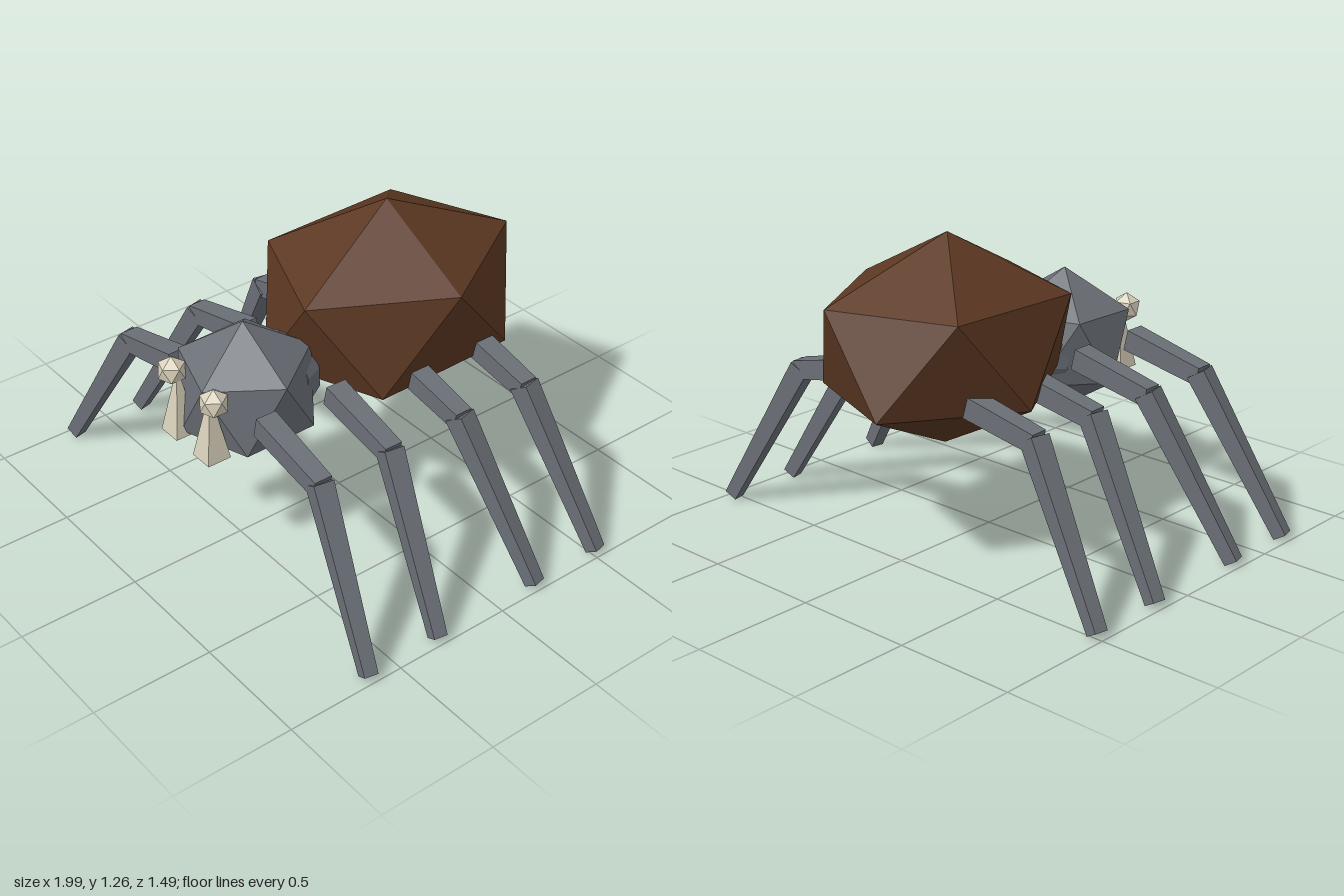
import * as THREE from 'three';

export function createModel() {
  const root = new THREE.Group();
  root.name = 'spider';

  const mat = (name, color) => {
    const m = new THREE.MeshStandardMaterial({ color, flatShading: true });
    m.name = name;
    return m;
  };
  const grey = mat('grey', 0x6b7077);
  const brown = mat('brown', 0x5c3822);
  const cream = mat('cream', 0xd8d0ba);

  const add = (parent, name, geometry, material) => {
    const mesh = new THREE.Mesh(geometry, material);
    mesh.name = name;
    parent.add(mesh);
    return mesh;
  };

  // Icosahedron standing on a vertex, with an upper-ring vertex towards +x
  const ball = (parent, name, material, [rx, ry, rz], [x, y, z], tilt = 0) => {
    const g = new THREE.IcosahedronGeometry(1, 0);
    g.rotateZ(-Math.atan(2 / (1 + Math.sqrt(5))));
    g.scale(rx, ry, rz);
    g.rotateX(tilt);
    g.translate(x, y, z);
    return add(parent, name, g, material);
  };

  // Square tapered bar with half-widths h0 and h1
  const squareBar = (h0, h1, length) => {
    const g = new THREE.CylinderGeometry(h1 * Math.SQRT2, h0 * Math.SQRT2, length, 4);
    return g.rotateY(Math.PI / 4);
  };

  // Bar from a to b whose side faces stay upright
  const limb = (parent, name, a, b, h0, h1) => {
    const from = new THREE.Vector3(...a), to = new THREE.Vector3(...b);
    const dir = to.clone().sub(from);
    const g = squareBar(h0, h1, dir.length());
    dir.normalize();
    const side = new THREE.Vector3().crossVectors(dir, new THREE.Vector3(0, 1, 0)).normalize();
    const out = new THREE.Vector3().crossVectors(dir, side);
    g.applyMatrix4(new THREE.Matrix4().makeBasis(out, dir, side));
    const mid = from.add(to).multiplyScalar(0.5);
    g.translate(mid.x, mid.y, mid.z);
    return add(parent, name, g, grey);
  };

  // Body
  ball(root, 'abdomen', brown, [0.49, 0.42, 0.594], [0, 0.842, -0.242], 0.023);
  ball(root, 'head', grey, [0.297, 0.3, 0.297], [0, 0.68, 0.448], 0.023);
  const neck = new THREE.CylinderGeometry(0.18, 0.13, 0.09, 10);
  neck.rotateX(Math.PI / 2).translate(0, 0.68, 0.235);
  add(root, 'neck', neck, grey);

  // Eyes and fangs
  for (const [side, s] of [['left', 1], ['right', -1]]) {
    ball(root, side + 'Eye', cream, [0.06, 0.062, 0.06], [s * 0.137, 0.785, 0.69]);
    const fang = squareBar(0.051, 0.009, 0.24);
    fang.translate(s * 0.105, 0.645, 0.687);
    add(root, side + 'Fang', fang, cream);
  }

  // Four legs per side: z at hip, knee and foot
  const legs = {
    left: [[0.555, 0.56, 0.625], [0.23, 0.235, 0.295], [-0.1, -0.105, -0.195], [-0.43, -0.435, -0.52]],
    right: [[0.57, 0.575, 0.665], [0.24, 0.245, 0.335], [-0.1, -0.085, -0.155], [-0.43, -0.415, -0.488]],
  };
  for (const [side, rows] of Object.entries(legs)) {
    const s = side === 'left' ? 1 : -1;
    rows.forEach(([hip, knee, foot], i) => {
      const leg = new THREE.Group();
      leg.name = `${side}Leg${i + 1}`;
      root.add(leg);
      limb(leg, 'upperLeg', [s * 0.265, 0.708, hip], [s * 0.615, 0.63, knee], 0.044, 0.038);
      limb(leg, 'lowerLeg', [s * 0.6, 0.64, knee], [s * 0.967, 0.015, foot], 0.041, 0.028);
    });
  }

  return root;
}
